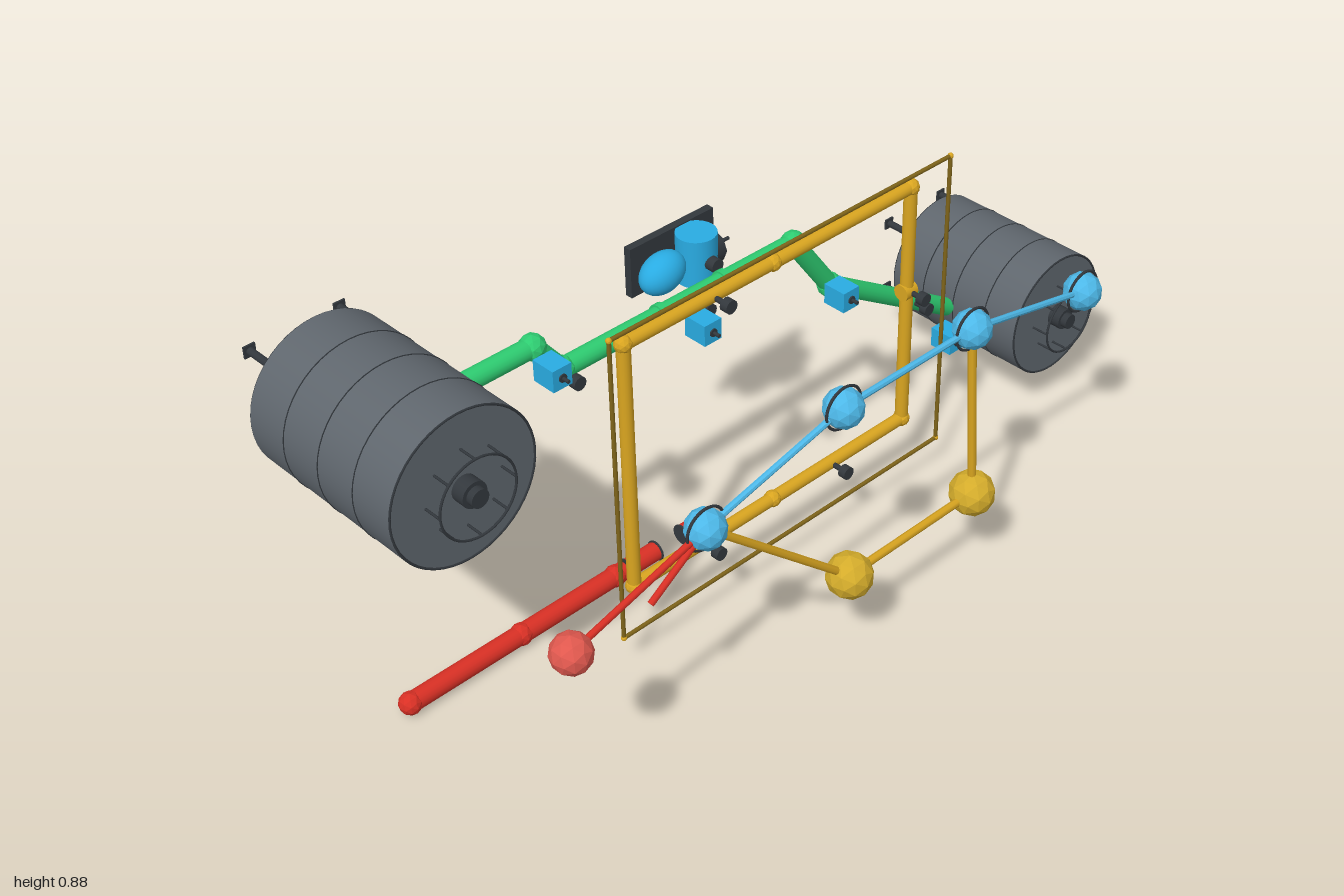
import * as THREE from 'three';

const mat = (color, flatShading = false) => new THREE.MeshStandardMaterial({ color, flatShading });
const M = {
  tank: mat(0x5f666d), dark: mat(0x33383d), green: mat(0x2ecc71), yellow: mat(0xd9a520),
  wire: mat(0x80651a), red: mat(0xd93025), blue: mat(0x29abe2), white: mat(0xd8dce0),
  greenJoint: mat(0x2ecc71, true), yellowJoint: mat(0xd9a520, true), redJoint: mat(0xd93025, true),
  blueNode: mat(0x4db8e8, true), redNode: mat(0xe0584e, true), yellowNode: mat(0xd4ac2b, true),
};
const V = (x, y, z) => new THREE.Vector3(x, y, z);

function add(parent, name, geo, material, x = 0, y = 0, z = 0) {
  const m = new THREE.Mesh(geo, material);
  m.name = name;
  m.position.set(x, y, z);
  parent.add(m);
  return m;
}

function group(parent, name) {
  const g = new THREE.Group();
  g.name = name;
  parent.add(g);
  return g;
}

// Cylinder between two points
function rod(parent, name, a, b, r, material, sides = 16) {
  const d = b.clone().sub(a);
  const m = add(parent, name, new THREE.CylinderGeometry(r, r, d.length(), sides), material);
  m.position.copy(a).addScaledVector(d, 0.5);
  m.quaternion.setFromUnitVectors(V(0, 1, 0), d.normalize());
  return m;
}

const ball = (parent, name, p, r, material, detail = 1) =>
  add(parent, name, new THREE.IcosahedronGeometry(r, detail), material, p.x, p.y, p.z);

// Small clamp: stem and cap standing off a pipe towards the front
function clamp(parent, p, reach) {
  const g = group(parent, 'clamp');
  rod(g, 'clampStem', p, V(p.x, p.y, p.z + reach), 0.006, M.dark, 8);
  rod(g, 'clampCap', V(p.x, p.y, p.z + reach - 0.012), V(p.x, p.y, p.z + reach + 0.006), 0.015, M.dark, 12);
}

// Horizontal drum with seams, front hatch and four rear posts
function tank(parent, name, x, y, r, front, back) {
  const g = group(parent, name);
  g.position.set(x, y, 0);
  const k = r / 0.16, len = front - back;
  rod(g, 'drum', V(0, 0, back), V(0, 0, front), r, M.tank, 48);
  for (let i = 1; i < 4; i++)
    add(g, 'seam', new THREE.TorusGeometry(r, 0.0015, 4, 48), M.dark, 0, 0, front - len * i / 4);
  for (const z of [front, back])
    add(g, 'rim', new THREE.TorusGeometry(r * 0.985, 0.0025, 6, 48), M.dark, 0, 0, z);
  // Hatch: hub, handwheel and studs
  rod(g, 'hatchHub', V(0, 0, front), V(0, 0, front + 0.03), 0.027 * k, M.dark, 20);
  rod(g, 'hatchCap', V(0, 0, front), V(0, 0, front + 0.045), 0.019 * k, M.dark, 20);
  add(g, 'handwheel', new THREE.TorusGeometry(0.083 * k, 0.0025, 6, 40), M.dark, 0, 0, front + 0.04);
  for (let i = 0; i < 8; i++) {
    const a = i * Math.PI / 4, c = Math.cos(a) * 0.083 * k, s = Math.sin(a) * 0.083 * k;
    rod(g, 'hatchStud', V(c, s, front), V(c, s, front + 0.04), 0.0025, M.dark, 6);
  }
  // Rear posts with foot plates
  const o = 0.098 * k;
  for (const sx of [-1, 1]) for (const sy of [-1, 1]) {
    rod(g, 'post', V(sx * o, sy * o, back), V(sx * o, sy * o, back - 0.073), 0.008, M.dark, 10);
    add(g, 'footPlate', new THREE.BoxGeometry(0.025, 0.025, 0.004), M.dark, sx * o, sy * o, back - 0.073);
  }
}

// Instrument box with front stem and bulb beneath
function sensor(parent, x, y) {
  const g = group(parent, 'sensor');
  g.position.set(x, y, -0.051);
  add(g, 'sensorBox', new THREE.BoxGeometry(0.045, 0.047, 0.056), M.blue);
  rod(g, 'sensorStem', V(0, 0, 0.02), V(0, 0, 0.046), 0.004, M.dark, 8);
  rod(g, 'sensorDial', V(0, 0, 0.027), V(0, 0, 0.031), 0.009, M.dark, 12);
  ball(g, 'sensorBulb', V(0, -0.029, 0), 0.01, M.white, 2);
}

export function createModel() {
  const root = new THREE.Group();
  tank(root, 'upperTank', -0.84, 0.718, 0.16, 0.1, -0.3);
  tank(root, 'lowerTank', 0.85, 0.24, 0.147, 0.06, -0.3);

  // Green line joining the tanks
  const main = group(root, 'mainPipe'), zg = -0.136;
  const path = [[-0.72, 0.719], [-0.49, 0.719], [-0.425, 0.636], [0.2, 0.636], [0.31, 0.483], [0.7, 0.238]]
    .map(([x, y]) => V(x, y, zg));
  path.slice(1).forEach((p, i) => rod(main, 'pipe', path[i], p, 0.021, M.green));
  path.slice(1, -1).forEach(p => ball(main, 'elbow', p, 0.028, M.greenJoint));
  for (const x of [-0.17, 0])
    rod(main, 'coupling', V(x - 0.008, 0.636, zg), V(x + 0.008, 0.636, zg), 0.025, M.green);
  for (const [x, y] of [[-0.43, 0.634], [-0.09, 0.636], [0.31, 0.478], [0.57, 0.32]])
    clamp(main, V(x, y, zg), 0.055);
  for (const [x, y] of [[-0.513, 0.718], [-0.135, 0.633], [0.258, 0.522], [0.608, 0.24]])
    sensor(root, x, y);

  // Rectangular loops: yellow pipe and thin outline
  const loop = (name, x0, x1, y0, y1, z, r, corner, material, cornerMat) => {
    const g = group(root, name);
    const c = [V(x0, y0, z), V(x1, y0, z), V(x1, y1, z), V(x0, y1, z)];
    c.forEach((p, i) => {
      rod(g, 'side', p, c[(i + 1) % 4], r, material, r > 0.01 ? 16 : 8);
      ball(g, 'corner', p, corner, cornerMat);
    });
    return g;
  };
  const yl = loop('yellowLoop', -0.389, 0.398, 0.157, 0.746, 0.005, 0.0145, 0.019, M.yellow, M.yellowJoint);
  loop('outline', -0.458, 0.468, 0.087, 0.808, 0.047, 0.0045, 0.0065, M.wire, M.yellowJoint);
  for (const y of [0.157, 0.746]) ball(yl, 'joint', V(0, y, 0.005), 0.019, M.yellowJoint);
  for (const [x, y] of [[-0.164, 0.746], [0.398, 0.493], [-0.2, 0.157], [0.173, 0.157]])
    clamp(yl, V(x, y, 0.005), 0.05);
  rod(yl, 'stub', V(0.38, 0.493, 0.005), V(0.414, 0.493, 0.005), 0.019, M.yellow);
  rod(yl, 'stubCap', V(0.4, 0.493, 0.005), V(0.416, 0.493, 0.005), 0.014, M.dark);

  // Broken red pipe with dark open ends
  const red = group(root, 'brokenPipe'), yr = 0.029, zr = -0.157;
  for (const [a, b] of [[-0.838, -0.278], [-0.272, -0.188], [-0.113, -0.03]]) {
    rod(red, 'pipe', V(a, yr, zr), V(b, yr, zr), 0.021, M.red);
    if (a > -0.8) for (const x of [a, b])
      rod(red, 'openEnd', V(x - 0.002, yr, zr), V(x + 0.002, yr, zr), 0.0235, M.dark);
  }
  for (const x of [-0.838, -0.557, -0.303]) ball(red, 'joint', V(x, yr, zr), 0.025, M.redJoint);

  // Node network in front
  const net = group(root, 'network');
  const blue = [V(-0.458, 0.515, 0.293), V(-0.121, 0.622, 0.314), V(0.243, 0.622, 0.314), V(0.623, 0.521, 0.293)];
  const gold = [V(-0.108, 0.211, 0.328), V(0.258, 0.211, 0.328)];
  const stray = V(-0.785, 0.424, 0.293);
  blue.forEach((p, i) => {
    ball(net, 'blueNode', p, 0.042, M.blueNode);
    add(net, 'nodeRing', new THREE.TorusGeometry(0.046, 0.003, 6, 32), M.dark, p.x, p.y, p.z);
    if (i) rod(net, 'blueLink', blue[i - 1], p, 0.007, M.blueNode, 8);
  });
  gold.forEach(p => ball(net, 'yellowNode', p, 0.05, M.yellowNode));
  ball(net, 'redNode', stray, 0.042, M.redNode);
  for (const [a, b] of [[blue[0], gold[0]], [gold[0], gold[1]], [gold[1], blue[2]]])
    rod(net, 'yellowLink', a, b, 0.009, M.yellow, 8);
  rod(net, 'redLink', blue[0], stray, 0.007, M.red, 8);
  rod(net, 'brokenLink', blue[0], V(-0.597, 0.42, 0.293), 0.007, M.red, 8);

  // Pump with back panel
  const pump = group(root, 'pump');
  pump.position.set(0, 0.631, -0.25);
  add(pump, 'panel', new THREE.BoxGeometry(0.23, 0.116, 0.018), M.dark, 0.005, 0, -0.048);
  const motor = add(pump, 'motor', new THREE.SphereGeometry(1, 24, 16), M.blue, -0.06, 0, 0);
  motor.scale.set(0.056, 0.042, 0.04);
  motor.rotation.z = 0.3;
  add(pump, 'housing', new THREE.CylinderGeometry(0.044, 0.044, 0.11, 24), M.blue, 0.035, 0, 0);
  rod(pump, 'sideFlange', V(0.035, 0, 0), V(0.088, 0, 0), 0.035, M.dark, 8);
  rod(pump, 'shaft', V(0.08, 0, 0), V(0.125, 0, 0), 0.004, M.dark, 8);
  rod(pump, 'frontPort', V(0.035, 0, -0.04), V(0.035, 0, 0.063), 0.016, M.dark, 12);
  return root;
}
